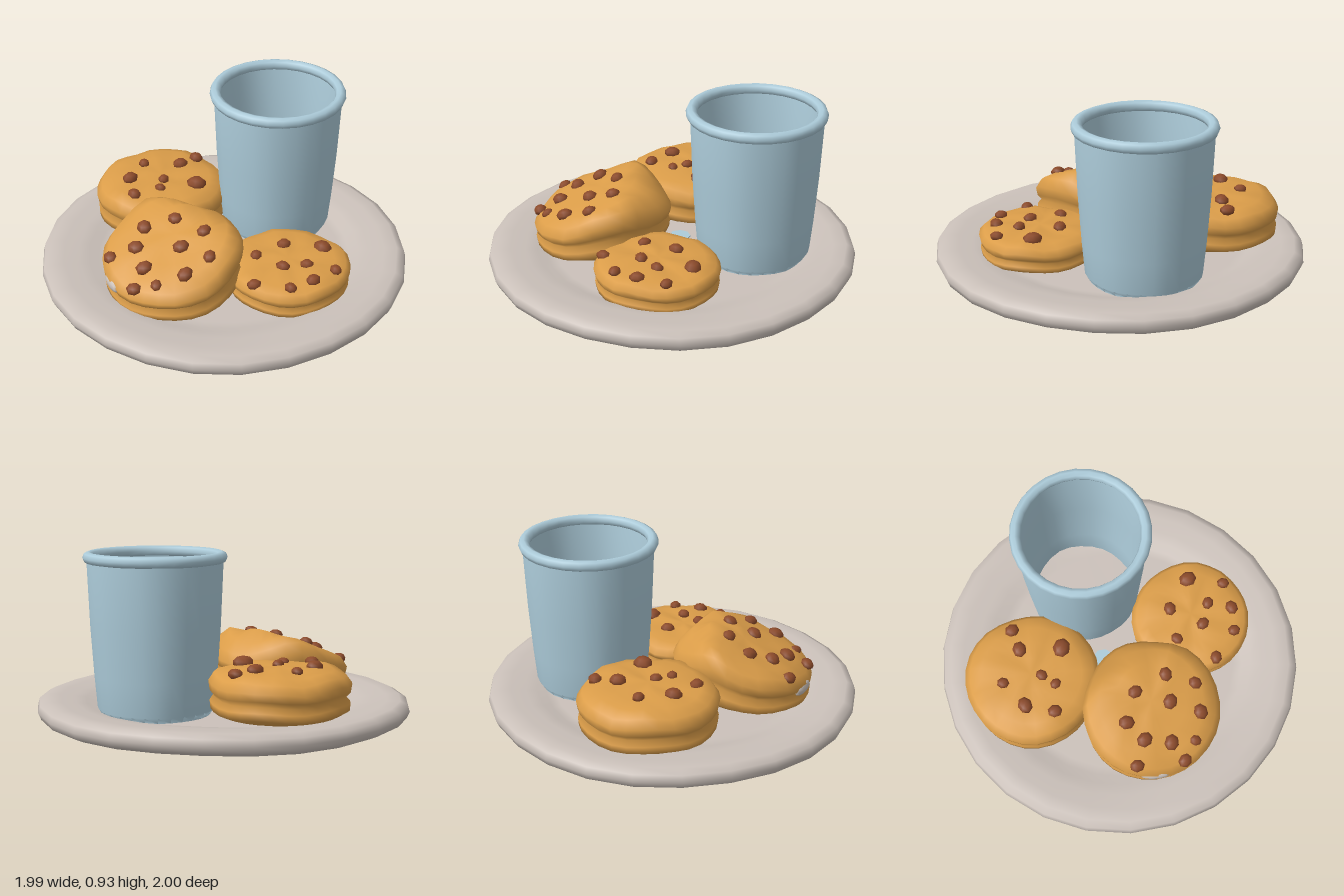
import * as THREE from 'three';
import { mergeVertices } from 'three/addons/utils/BufferGeometryUtils.js';

const mat = (name, color, side = THREE.FrontSide) => {
  const m = new THREE.MeshStandardMaterial({ color, side });
  m.name = name;
  return m;
};

// Lathe whose vertices are moved by a rule, with seamless smooth normals
function lathe(profile, segments, rule) {
  let g = new THREE.LatheGeometry(profile.map(([r, y]) => new THREE.Vector2(r, y)), segments);
  g.deleteAttribute('uv');
  g.deleteAttribute('normal');
  g = mergeVertices(g, 1e-4);
  const p = g.attributes.position, v = new THREE.Vector3();
  for (let i = 0; i < p.count; i++) {
    v.fromBufferAttribute(p, i);
    rule(v);
    p.setXYZ(i, v.x, v.y, v.z);
  }
  g.computeVertexNormals();
  return g;
}

function addMesh(parent, name, geometry, material) {
  const m = new THREE.Mesh(geometry, material);
  m.name = name;
  parent.add(m);
  return m;
}

// Two-layer biscuit outline: radius fraction, height fraction
const UPPER = [[1, 0.68], [0.92, 0.86], [0.75, 0.95], [0.5, 0.98], [0.25, 0.99], [0, 1]];
const BISCUIT = [[0, 0], [0.5, 0], [0.85, 0], [0.97, 0.1], [0.98, 0.26], [0.91, 0.38], [0.98, 0.5], ...UPPER];

function topHeight(rho) {
  for (let i = 0; i < UPPER.length - 1; i++) {
    const [r0, t0] = UPPER[i], [r1, t1] = UPPER[i + 1];
    if (rho >= r1) return t0 + (t1 - t0) * Math.min(1, Math.max(0, (r0 - rho) / (r0 - r1)));
  }
  return 1;
}

function makeCookie(name, c, dough, chipMat) {
  const group = new THREE.Group();
  group.name = name;
  group.position.set(c.x, c.y, c.z);

  // Lean towards the back, then fold down past the crest
  const lean = (v) => {
    if (!c.lean) return v;
    const t = v.y / c.h, d = -v.z;
    v.y += d * (0.1 + 0.28 * t) - Math.max(0, d - 0.19) * t;
    if (d > 0.15) v.x *= 1 - (d - 0.15) * 0.6;
    return v;
  };

  const body = lathe(BISCUIT, 28, (v) => {
    const rho = Math.hypot(v.x, v.z), a = Math.atan2(v.z, v.x), t = v.y;
    const wobble = 1 + 0.015 * Math.sin(a * 3 + c.x * 9) * rho;
    const bump = t > 0.5 ? 0.008 * Math.sin(v.x * 9 + c.x * 7) * Math.cos(v.z * 8) : 0;
    const wave = 0.006 * rho * Math.sin(a * 5 + c.z * 6);
    v.set(v.x * c.r * wobble, t * c.h, v.z * c.r * wobble);
    lean(v);
    v.y += bump + (t > 0 ? wave : 0);
  });
  addMesh(group, 'biscuit', body, dough);

  // Chocolate chips half sunk into the top
  c.chips.forEach(([x, z, s = 0.038], i) => {
    const lx = x - c.x, lz = z - c.z;
    const p = lean(new THREE.Vector3(lx, topHeight(Math.hypot(lx, lz) / c.r) * c.h, lz));
    const chip = addMesh(group, 'chocolateChip', new THREE.SphereGeometry(s, 7, 5), chipMat);
    chip.position.set(lx, p.y + 0.004, lz);
    chip.scale.set(1.1, 0.75, 0.95);
    chip.rotation.set(c.lean ? 0.35 : 0, i * 1.3, 0);
  });
  return group;
}

export function createModel() {
  const plateMat = mat('warm grey china', 0xcbc1ba);
  const blue = mat('pale blue', 0xaccbd9);
  const dough = mat('golden dough', 0xdb9d49);
  const chocolate = mat('chocolate', 0x8b4a2a);
  const model = new THREE.Group();
  model.name = 'cookiesAndCup';

  // Plate: flat foot, rounded rim, shallow well
  const plateProfile = [
    [0, 0.005], [0.81, 0.005], [0.84, 0.02], [0.94, 0.03], [0.985, 0.05], [1, 0.085], [0.99, 0.12],
    [0.95, 0.14], [0.88, 0.137], [0.8, 0.128], [0.74, 0.122], [0.69, 0.1], [0.64, 0.098], [0, 0.1],
  ];
  addMesh(model, 'plate', lathe(plateProfile, 26, (v) => {
    const r = Math.hypot(v.x, v.z), a = Math.atan2(v.z, v.x);
    if (r > 0.7 && v.y > 0.015) v.y += 0.004 * Math.sin(a * 5);
    v.y = Math.max(0, v.y);
  }), plateMat);

  // Cup: open tapered wall with a rounded lip
  const cup = new THREE.Group();
  cup.name = 'cup';
  cup.position.set(0.035, 0, -0.443);
  const flutes = (v) => {
    const a = Math.atan2(v.z, v.x), k = 1 + 0.008 * Math.sin(a * 7);
    v.x *= k;
    v.z *= k;
  };
  const wall = [[0.285, 0.1], [0.303, 0.13], [0.318, 0.3], [0.335, 0.55], [0.35, 0.9],
    [0.325, 0.9], [0.312, 0.55], [0.295, 0.25], [0.285, 0.1]];
  addMesh(cup, 'cupWall', lathe(wall, 28, flutes), blue);
  const lip = addMesh(cup, 'cupLip', new THREE.TorusGeometry(0.34, 0.03, 8, 28), blue);
  lip.rotation.x = Math.PI / 2;
  lip.position.y = 0.906;
  model.add(cup);

  // Cookies
  model.add(makeCookie('rightCookie', {
    x: -0.505, y: 0.13, z: -0.085, r: 0.365, h: 0.235,
    chips: [[-0.47, -0.36], [-0.49, -0.24, 0.042], [-0.66, -0.12, 0.032], [-0.29, -0.13, 0.052],
      [-0.46, -0.05, 0.032], [-0.42, 0.03, 0.03], [-0.62, 0.05, 0.043], [-0.5, 0.16]],
  }, dough, chocolate));
  model.add(makeCookie('leftCookie', {
    x: 0.445, y: 0.1, z: 0.035, r: 0.328, h: 0.16,
    chips: [[0.54, -0.15, 0.048], [0.36, -0.05], [0.7, -0.03, 0.033], [0.56, 0.03, 0.034], [0.3, 0.12, 0.034],
      [0.47, 0.12, 0.036], [0.66, 0.12], [0.6, 0.24, 0.033], [0.43, 0.32, 0.036]],
  }, dough, chocolate));
  const frontCookie = makeCookie('frontCookie', {
    x: -0.037, y: 0.13, z: 0.388, r: 0.375, h: 0.28, lean: true,
    chips: [[-0.09, 0.31], [0.1, 0.31], [-0.21, 0.42, 0.042], [0.05, 0.44, 0.042], [0.22, 0.42, 0.036],
      [-0.17, 0.54, 0.043], [0.17, 0.56, 0.042], [-0.27, 0.63], [-0.05, 0.62, 0.043], [0.07, 0.67, 0.032],
      [-0.03, 0.73]],
  }, dough, chocolate);
  model.add(frontCookie);

  // Pale gap in the front cookie's edge
  const gap = addMesh(frontCookie, 'paleGap', new THREE.SphereGeometry(1, 10, 6), plateMat);
  gap.position.set(-0.165, 0.075, 0.315);
  gap.scale.set(0.08, 0.033, 0.022);
  gap.rotation.y = -0.48;

  // Thin blue spot on the plate beside the cup
  const spot = addMesh(model, 'blueSpot', new THREE.CylinderGeometry(0.06, 0.06, 0.006, 8), blue);
  spot.position.set(-0.085, 0.103, -0.035);

  return model;
}
